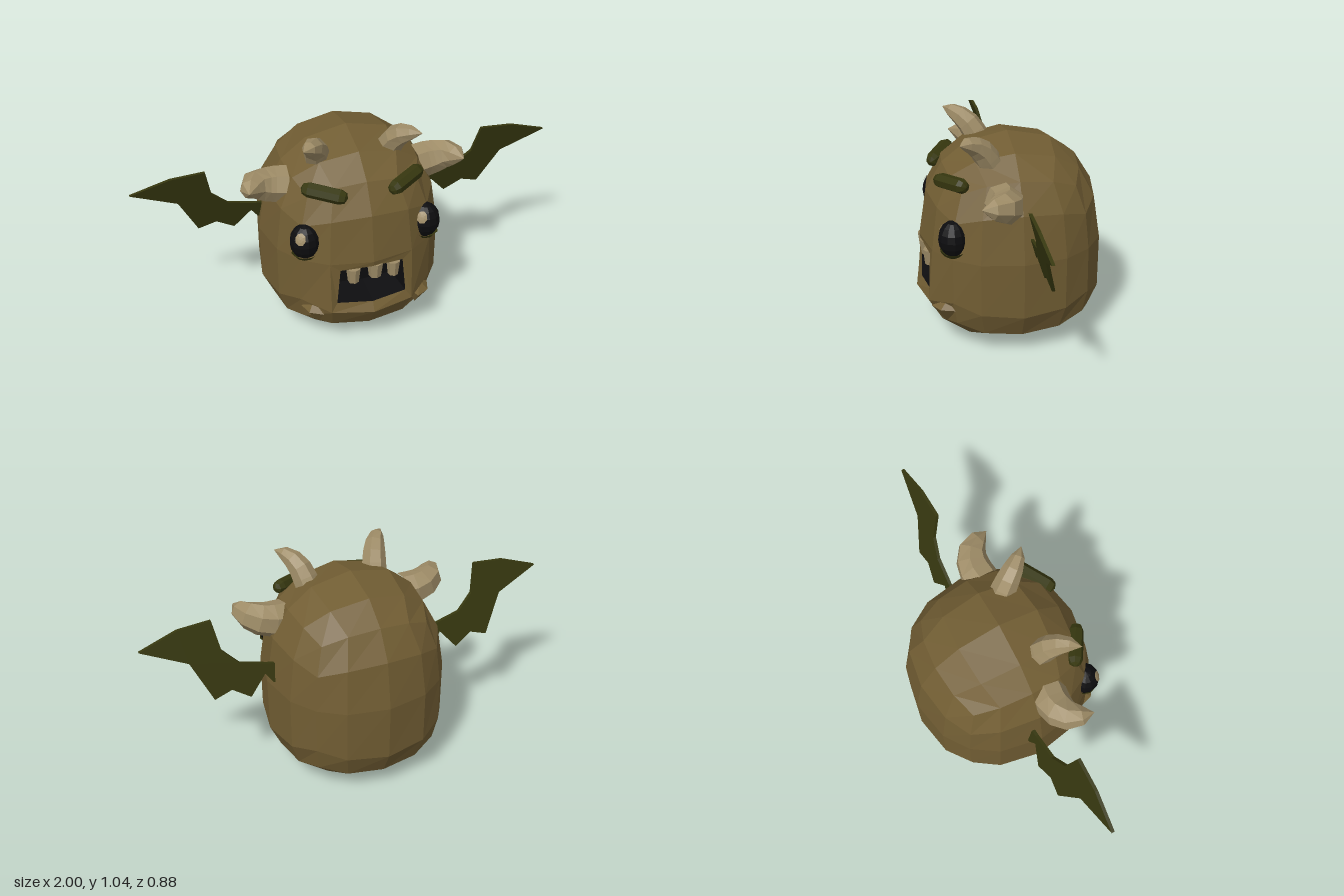
import * as THREE from 'three';
import { ConvexGeometry } from 'three/addons/geometries/ConvexGeometry.js';

const V = (x, y, z) => new THREE.Vector3(x, y, z);

function material(name, color, extra = {}) {
  const m = new THREE.MeshStandardMaterial({ color, flatShading: true, ...extra });
  m.name = name;
  return m;
}

// Rounded-cube rule: grid corner (i, j, k) in -2..2 to a point on the body
function bodyPoint(i, j, k) {
  const n = 2.2;
  const p = V(i, j, k);
  p.divideScalar((Math.abs(i) ** n + Math.abs(j) ** n + Math.abs(k) ** n) ** (1 / n));
  if (p.y < 0) {
    // heavier, wider lower half
    const wide = 1 + 0.32 * (-p.y) ** 1.7;
    p.x *= wide;
    p.z *= wide;
    p.y = -((-p.y) ** 0.75);
  }
  p.set(p.x * 0.425, 0.4875 + p.y * 0.4875, p.z * (p.z > 0 ? 0.42 : 0.44));
  if (k === 2 && j === -1 && Math.abs(i) < 2) p.z += 0.024; // jutting lower lip
  return p;
}

function fromPoints(points) {
  const g = new THREE.BufferGeometry().setFromPoints(points);
  g.computeVertexNormals();
  return g;
}

// Triangles joining two rings of equal length
function band(a, b) {
  return a.flatMap((p, i) => {
    const n = (i + 1) % a.length;
    return [p, a[n], b[n], p, b[n], b[i]];
  });
}

// Curved tube that narrows to a blunt tip
function hornGeometry(path, radius) {
  const segments = 5, sides = 7;
  const curve = new THREE.CatmullRomCurve3(path);
  const g = new THREE.TubeGeometry(curve, segments, radius, sides);
  const pos = g.attributes.position;
  const p = V(0, 0, 0);
  for (let i = 0; i < pos.count; i++) {
    const t = Math.floor(i / (sides + 1)) / segments;
    const c = curve.getPointAt(t);
    p.fromBufferAttribute(pos, i).sub(c).multiplyScalar((1 - t ** 2.2) ** 0.65).add(c);
    pos.setXYZ(i, p.x, p.y, p.z);
  }
  g.computeVertexNormals();
  return g;
}

export function createModel() {
  const model = new THREE.Group();
  model.name = 'wingedCreature';
  const skin = material('brown skin', 0x715d33);
  const horn = material('tan horn', 0x9d8b66);
  const green = material('dark olive', 0x36370f, { side: THREE.DoubleSide });
  const black = material('black', 0x0d0d0f, { side: THREE.DoubleSide });

  const add = (name, geometry, mat, parent = model) => {
    const m = new THREE.Mesh(geometry, mat);
    m.name = name;
    parent.add(m);
    return m;
  };

  // Body, leaving out the two front panels that hold the mouth
  const grid = new THREE.BoxGeometry(4, 4, 4, 4, 4, 4).toNonIndexed().attributes.position;
  const points = [];
  for (let t = 0; t < grid.count; t += 3) {
    const tri = [0, 1, 2].map((c) => V(0, 0, 0).fromBufferAttribute(grid, t + c).round());
    const inMouth = tri.every((p) => p.z === 2 && Math.abs(p.x) < 2 && (p.y === 0 || p.y === -1));
    if (!inMouth) points.push(...tri.map((p) => bodyPoint(p.x, p.y, p.z)));
  }

  // Face panel around the mouth opening
  const outer = [[-1, -1], [0, -1], [1, -1], [1, 0], [0, 0], [-1, 0]].map(([i, j]) => bodyPoint(i, j, 2));
  const rim = [
    V(-0.165, 0.275, 0.395), V(0, 0.262, 0.415), V(0.165, 0.275, 0.395),
    V(0.148, 0.45, 0.39), V(0, 0.462, 0.415), V(-0.148, 0.45, 0.39),
  ];
  points.push(...band(outer, rim));
  add('body', fromPoints(points), skin);

  // Mouth cavity
  const back = rim.map((p) => V(p.x * 0.85, 0.365 + (p.y - 0.365) * 0.85, 0.26));
  const cap = [1, 2, 3, 4].flatMap((i) => [back[0], back[i], back[i + 1]]);
  add('mouth', fromPoints([...band(rim, back), ...cap]), black);

  // Upper teeth
  [[-0.085, 0.415, 0.034], [0.018, 0.425, 0.038], [0.105, 0.415, 0.032]].forEach(([x, y, r]) => {
    const tooth = add('tooth', new THREE.CylinderGeometry(r, r * 0.75, 0.075, 7), horn);
    tooth.position.set(x, y, 0.385);
  });

  for (const s of [1, -1]) {
    const side = new THREE.Group();
    side.name = s > 0 ? 'leftSide' : 'rightSide';
    model.add(side);

    // Chin corner bump
    const chin = [
      [0.31, 0.225, 0.3], [0.23, 0.225, 0.4], [0.29, 0.225, 0.365],
      [0.24, 0.14, 0.33], [0.2, 0.22, 0.3], [0.26, 0.26, 0.33],
    ];
    add('chinBump', new ConvexGeometry(chin.map(([x, y, z]) => V(s * x, y, z))), skin, side);

    // Eye with highlight and lower lid
    const eye = new THREE.Group();
    eye.name = 'eye';
    eye.position.set(s * 0.285, 0.585, 0.3);
    eye.scale.set(0.07, 0.086, 0.067);
    side.add(eye);
    add('eyeball', new THREE.SphereGeometry(1, 12, 8), black, eye);
    const glint = add('eyeHighlight', new THREE.SphereGeometry(1.03, 8, 2, 0, Math.PI * 2, 0, 0.36), horn, eye);
    glint.quaternion.setFromUnitVectors(V(0, 1, 0), V(-0.48, 0.52, 0.71).normalize());
    const lid = new THREE.SphereGeometry(1.12, 10, 3, 0, Math.PI * 2, Math.PI * 0.7, Math.PI * 0.3);
    add('lowerEyelid', lid, green, eye);

    // Eyebrow
    const brow = add('eyebrow', new THREE.CapsuleGeometry(0.035, 0.145, 2, 7), green, side);
    brow.position.set(s * 0.19, 0.812, 0.29);
    brow.quaternion.setFromUnitVectors(V(0, 1, 0), V(s * 0.17, 0.022, -0.105).normalize());

    // Horns
    const topPath = [[0.165, 0.87, 0.1], [0.19, 0.96, 0.155], [0.225, 1.0, 0.21], [0.272, 1.015, 0.26]];
    add('topHorn', hornGeometry(topPath.map(([x, y, z]) => V(s * x, y, z)), 0.06), horn, side);
    const sidePath = [[0.31, 0.76, 0.08], [0.39, 0.77, 0.075], [0.465, 0.795, 0.11], [0.505, 0.812, 0.205]];
    add('sideHorn', hornGeometry(sidePath.map(([x, y, z]) => V(s * x, y, z)), 0.086), horn, side);

    // Bat wing, leaning forward towards the top
    const outline = [
      [0.36, 0.6], [0.43, 0.61], [0.56, 0.642], [0.636, 0.717], [0.663, 0.856], [0.82, 0.845], [1, 0.786],
      [0.79, 0.69], [0.7, 0.503], [0.615, 0.53], [0.53, 0.476], [0.45, 0.567], [0.417, 0.52], [0.36, 0.51],
    ];
    const shape = new THREE.Shape(outline.map(([x, y]) => new THREE.Vector2(s * x, y)));
    const wing = new THREE.ExtrudeGeometry(shape, { depth: 0.015, bevelEnabled: false });
    const pos = wing.attributes.position;
    for (let i = 0; i < pos.count; i++) {
      pos.setZ(i, pos.getZ(i) + 0.022 + (pos.getY(i) - 0.85) * 0.27);
    }
    wing.computeVertexNormals();
    add('wing', wing, green, side);
  }
  return model;
}
